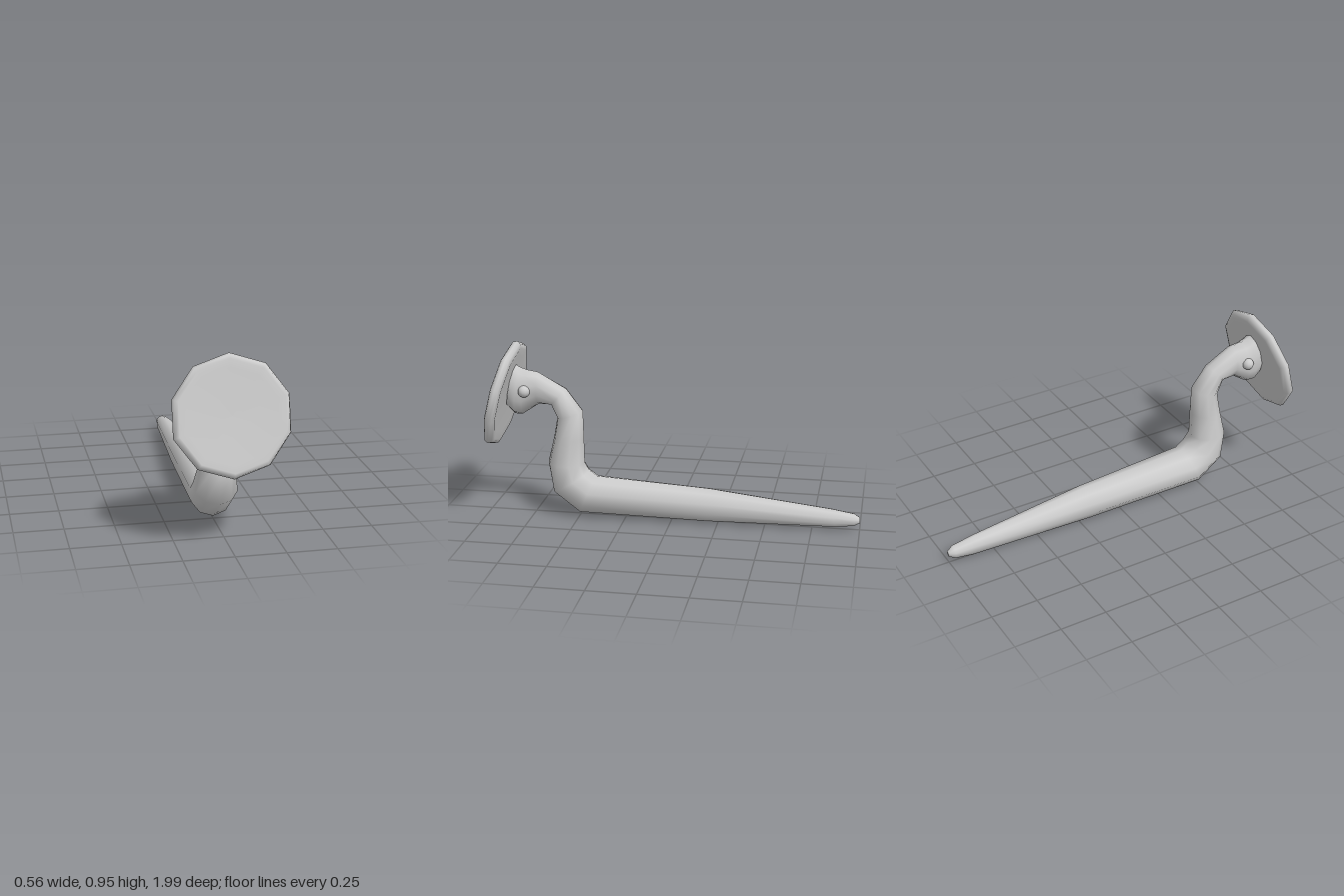
import * as THREE from 'three';

const SIDES = 10;

// Tube through elliptical rings; each ring is [topZ, topY, bottomZ, bottomY, halfWidth]
function ringTube(rings) {
  const pos = [], index = [];
  rings.forEach(([tz, ty, bz, by, w], i) => {
    const cz = (tz + bz) / 2, cy = (ty + by) / 2;
    for (let j = 0; j < SIDES; j++) {
      const a = (j / SIDES) * Math.PI * 2;
      const c = Math.cos(a);
      pos.push((w / 0.951) * Math.sin(a), cy + (ty - cy) * c, cz + (tz - cz) * c);
      if (i < rings.length - 1) {
        const k = (j + 1) % SIDES, r = i * SIDES, n = r + SIDES;
        index.push(r + j, r + k, n + k, r + j, n + k, n + j);
      }
    }
  });
  const geo = new THREE.BufferGeometry();
  geo.setAttribute('position', new THREE.Float32BufferAttribute(pos, 3));
  geo.setIndex(index);
  geo.computeVertexNormals();
  return geo;
}

export function createModel() {
  const group = new THREE.Group();
  const mat = new THREE.MeshStandardMaterial({ color: 0xcccccc });
  const add = (name, geo) => {
    const mesh = new THREE.Mesh(geo, mat);
    mesh.name = name;
    group.add(mesh);
    return mesh;
  };

  // Head, raised neck and tapering tail in one skin
  add('body', ringTube([
    [0.84, 0.82, 0.89, 0.59, 0.072],
    [0.81, 0.805, 0.85, 0.55, 0.072],
    [0.78, 0.795, 0.81, 0.55, 0.068],
    [0.72, 0.785, 0.72, 0.61, 0.06],
    [0.57, 0.7, 0.65, 0.61, 0.06],
    [0.48, 0.58, 0.62, 0.54, 0.067],
    [0.477, 0.43, 0.64, 0.43, 0.079],
    [0.475, 0.29, 0.675, 0.29, 0.09],
    [0.45, 0.25, 0.65, 0.13, 0.107],
    [0.41, 0.22, 0.5, 0.015, 0.107],
    [-0.2, 0.185, -0.2, 0.002, 0.083],
    [-0.85, 0.11, -0.88, 0.012, 0.045],
    [-0.97, 0.09, -0.97, 0.024, 0.033],
    [-1, 0.07, -1, 0.04, 0.016],
    [-1, 0.055, -1, 0.055, 0],
  ]));

  // Ten-sided plate on the face, tilted slightly upward
  const profile = [
    [0, -0.022], [0.22, -0.022], [0.262, -0.028], [0.285, -0.018],
    [0.294, 0], [0.285, 0.02], [0.266, 0.028], [0.23, 0.022], [0, 0.018],
  ].map(([r, y]) => new THREE.Vector2(r, y));
  const plate = add('facePlate', new THREE.LatheGeometry(profile, SIDES));
  plate.position.set(0, 0.662, 0.9);
  plate.rotation.x = Math.PI / 2 - 0.245;

  // Eyes
  for (const s of [1, -1]) {
    const eye = add(s > 0 ? 'leftEye' : 'rightEye', new THREE.SphereGeometry(0.032, 12, 8));
    eye.position.set(s * 0.066, 0.692, 0.782);
  }
  return group;
}
